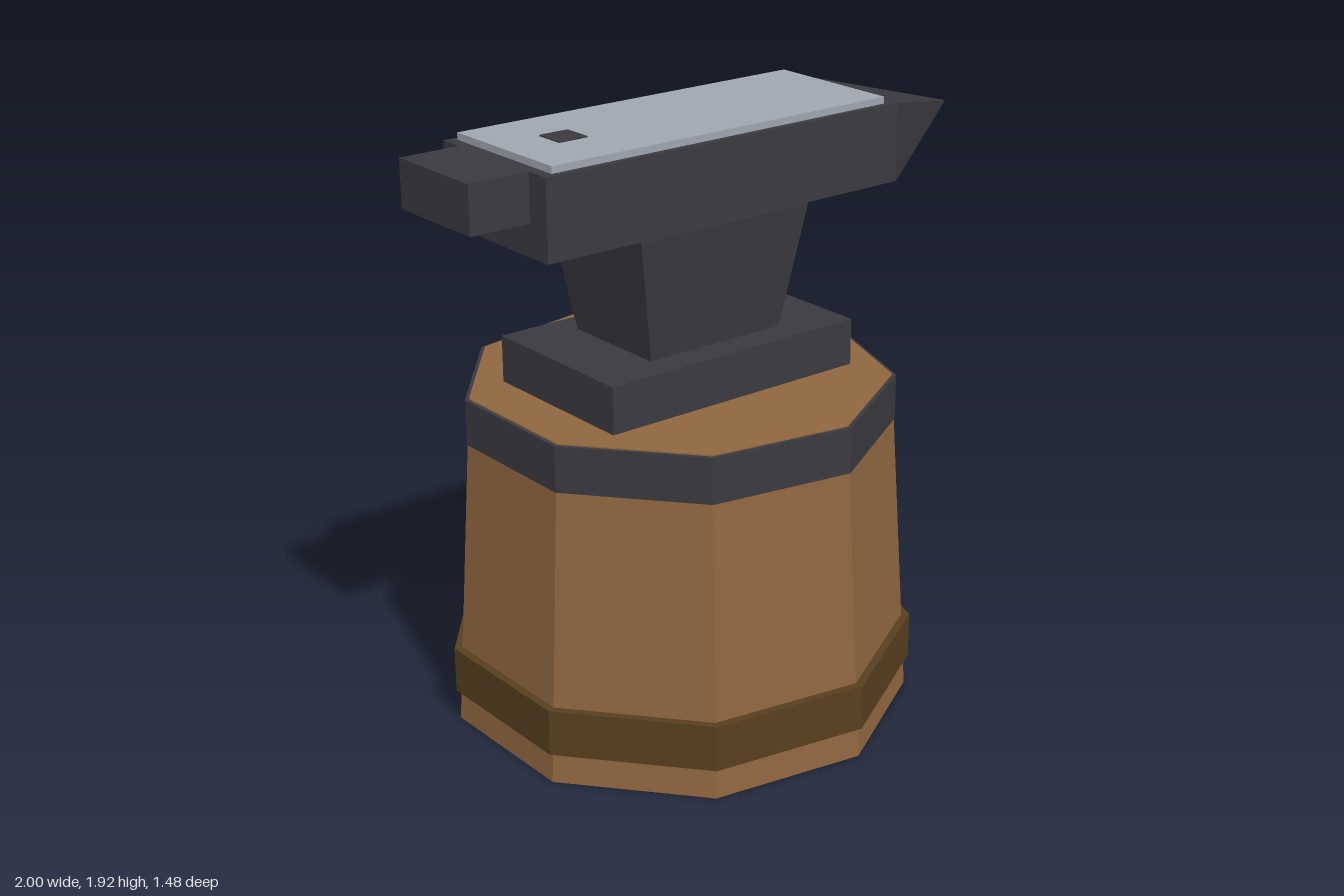
import * as THREE from 'three';

export function createModel() {
  const model = new THREE.Group();
  model.name = 'anvilOnStump';

  const paint = (name, color) => {
    const m = new THREE.MeshStandardMaterial({ color, flatShading: true });
    m.name = name;
    return m;
  };
  const wood = paint('wood', 0x8f663f);
  const band = paint('brownBand', 0x573f1e);
  const iron = paint('darkIron', 0x3a393f);
  const steel = paint('paleSteel', 0x9fa6b0);

  const add = (name, geometry, material, x, y, z = 0) => {
    const mesh = new THREE.Mesh(geometry, material);
    mesh.name = name;
    mesh.position.set(x, y, z);
    model.add(mesh);
    return mesh;
  };

  // Box given by its x and y limits and half depth
  const block = (name, material, x0, x1, y0, y1, halfZ) =>
    add(name, new THREE.BoxGeometry(x1 - x0, y1 - y0, halfZ * 2), material, (x0 + x1) / 2, (y0 + y1) / 2);

  // Nine-sided drum with one corner pointing along +x
  const drum = (name, material, rTop, rBottom, y0, y1) =>
    add(name, new THREE.CylinderGeometry(rTop, rBottom, y1 - y0, 9, 1, false, Math.PI / 2), material, -0.14, (y0 + y1) / 2);

  // Stump and its hoops; the upper hoop sits just under the wooden top
  drum('stump', wood, 0.669, 0.74, 0, 1.09);
  drum('lowerHoop', band, 0.75, 0.75, 0.1, 0.25);
  drum('upperHoop', iron, 0.682, 0.682, 0.94, 1.086);

  // Anvil foot
  block('foot', iron, -0.605, 0.33, 1.09, 1.24, 0.283);

  // Waist: four-sided, widening upwards
  const waist = new THREE.CylinderGeometry(Math.SQRT1_2, Math.SQRT1_2 * 0.785, 1, 4, 1, false, Math.PI / 4);
  waist.scale(0.64, 0.395, 0.472);
  add('waist', waist, iron, -0.1375, 1.4375);

  // Body and heel
  block('body', iron, -0.8, 0.53, 1.645, 1.895, 0.256);
  block('heel', iron, -1, -0.8, 1.745, 1.895, 0.175);

  // Horn: pyramid pointing along +x, tip raised slightly
  const horn = new THREE.ConeGeometry(Math.SQRT1_2, 1, 4, 1, false, Math.PI / 4);
  horn.translate(0, 0.5, 0).rotateZ(-Math.PI / 2).scale(0.465, 0.25, 0.515);
  horn.applyMatrix4(new THREE.Matrix4().makeShear(0.025, 0, 0, 0, 0, 0));
  add('horn', horn, iron, 0.53, 1.77);

  // Face plate and square hole
  block('facePlate', steel, -0.765, 0.49, 1.895, 1.917, 0.235);
  block('hardyHole', iron, -0.605, -0.505, 1.915, 1.921, 0.049);

  return model;
}
